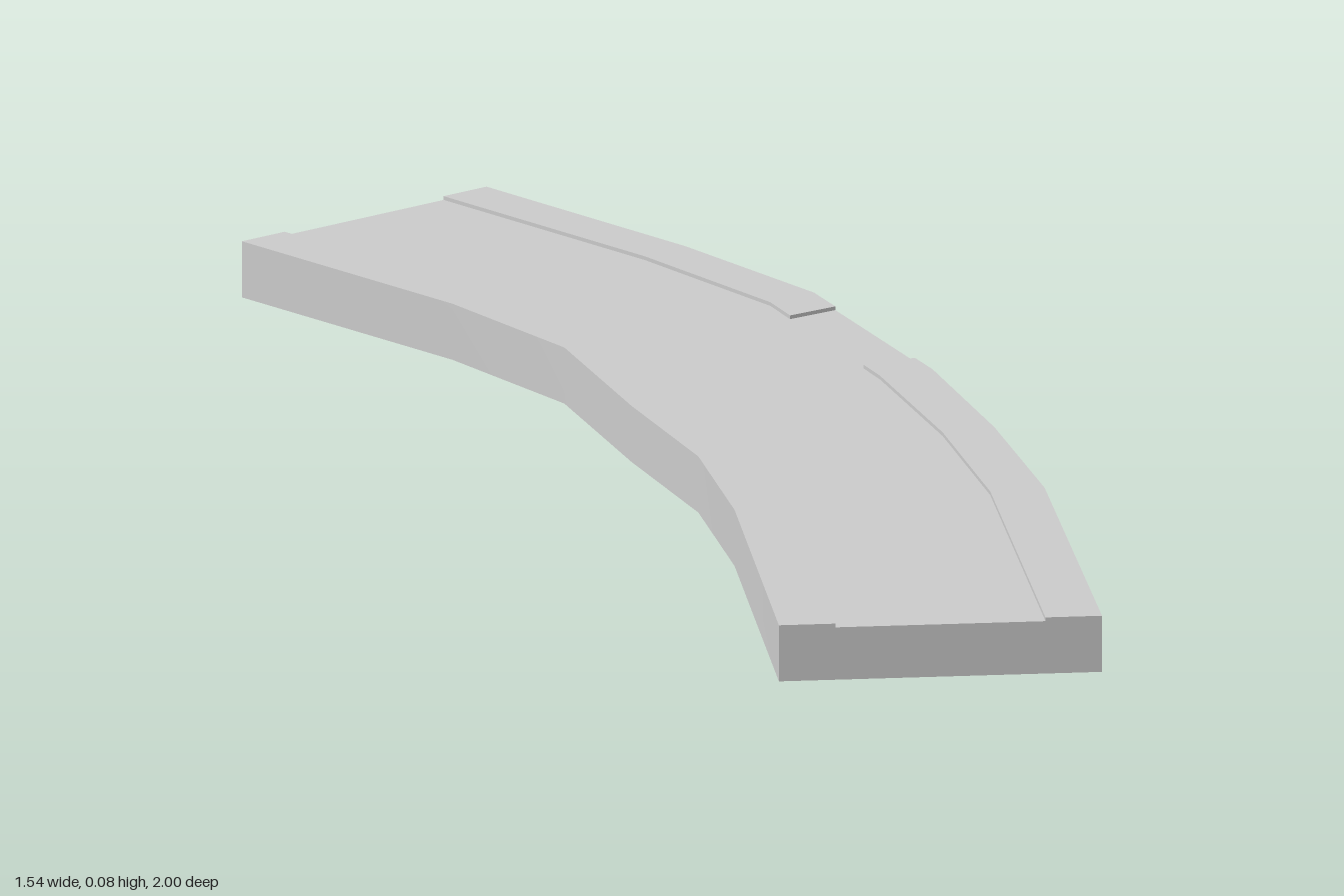
import * as THREE from 'three';

const TOP = 0.075, ROAD = 0.07, KERB = 0.175; // heights, kerb share of the width

// Matching points [x, z] along both edges, back to front
const innerEdge = [[-0.77, -0.66], [-0.43, -0.43], [-0.236, -0.257], [-0.08, 0], [0.066, 0.22], [0.177, 0.463], [0.375, 1]];
const outerEdge = [[-0.532, -1], [-0.21, -0.78], [0.008, -0.6], [0.251, -0.272], [0.4, -0.015], [0.537, 0.257], [0.767, 0.85]];

const mix = (a, b, t) => [a[0] + (b[0] - a[0]) * t, a[1] + (b[1] - a[1]) * t];

// Add the two ends of the driveway gap as extra stations
for (const edge of [innerEdge, outerEdge]) {
  const a = edge[2], b = edge[3];
  edge.splice(3, 0, mix(a, b, 0.18), mix(a, b, 0.85));
}
const GAP0 = 3, GAP1 = 4, LAST = innerEdge.length - 1;

// Point at a station, a share f across the width, at height y
function at(i, f, y) {
  const [x, z] = mix(innerEdge[i], outerEdge[i], f);
  return [x, y, z];
}

// Row of points running along the road
function row(f, y, from = 0, to = LAST) {
  const points = [];
  for (let i = from; i <= to; i++) points.push(at(i, f, y));
  return points;
}

export function createModel() {
  const group = new THREE.Group();
  const material = new THREE.MeshStandardMaterial({ color: 0xcccccc, side: THREE.DoubleSide });

  // Surface between two rows of equal length
  function ribbon(name, rowA, rowB) {
    const n = rowA.length, index = [];
    for (let i = 0; i < n - 1; i++) index.push(i, i + 1, n + i, i + 1, n + i + 1, n + i);
    const geometry = new THREE.BufferGeometry();
    geometry.setAttribute('position', new THREE.Float32BufferAttribute([...rowA, ...rowB].flat(), 3));
    geometry.setIndex(index);
    geometry.computeVertexNormals();
    const mesh = new THREE.Mesh(geometry, material);
    mesh.name = name;
    group.add(mesh);
  }

  // Carriageway
  ribbon('roadSurface', row(KERB, ROAD), row(1 - KERB, ROAD));

  // Continuous pavement on the inside of the bend
  ribbon('innerPavement', row(0, TOP), row(KERB, TOP));
  ribbon('innerKerb', row(KERB, TOP), row(KERB, ROAD));
  ribbon('innerWall', row(0, 0), row(0, TOP));

  // Outer pavement in two lengths
  for (const [from, to] of [[0, GAP0], [GAP1, LAST]]) {
    ribbon('outerPavement', row(1 - KERB, TOP, from, to), row(1, TOP, from, to));
    ribbon('outerKerb', row(1 - KERB, ROAD, from, to), row(1 - KERB, TOP, from, to));
    ribbon('outerWall', row(1, TOP, from, to), row(1, 0, from, to));
  }

  // Driveway gap level with the road
  ribbon('driveway', row(1 - KERB, ROAD, GAP0, GAP1), row(1, ROAD, GAP0, GAP1));
  ribbon('drivewayWall', row(1, ROAD, GAP0, GAP1), row(1, 0, GAP0, GAP1));
  const across = (i, y) => [at(i, 1 - KERB, y), at(i, 1, y)];
  ribbon('drivewayKerbBack', across(GAP0, ROAD), across(GAP0, TOP));
  ribbon('drivewayKerbFront', across(GAP1, TOP), across(GAP1, ROAD));

  // End walls following the kerb profile; the underside stays open
  const profile = [[0, TOP], [KERB, TOP], [KERB, ROAD], [1 - KERB, ROAD], [1 - KERB, TOP], [1, TOP]];
  const upper = (i) => profile.map(([f, y]) => at(i, f, y));
  const lower = (i) => profile.map(([f]) => at(i, f, 0));
  ribbon('frontEnd', lower(LAST), upper(LAST));
  ribbon('backEnd', upper(0), lower(0));

  return group;
}
